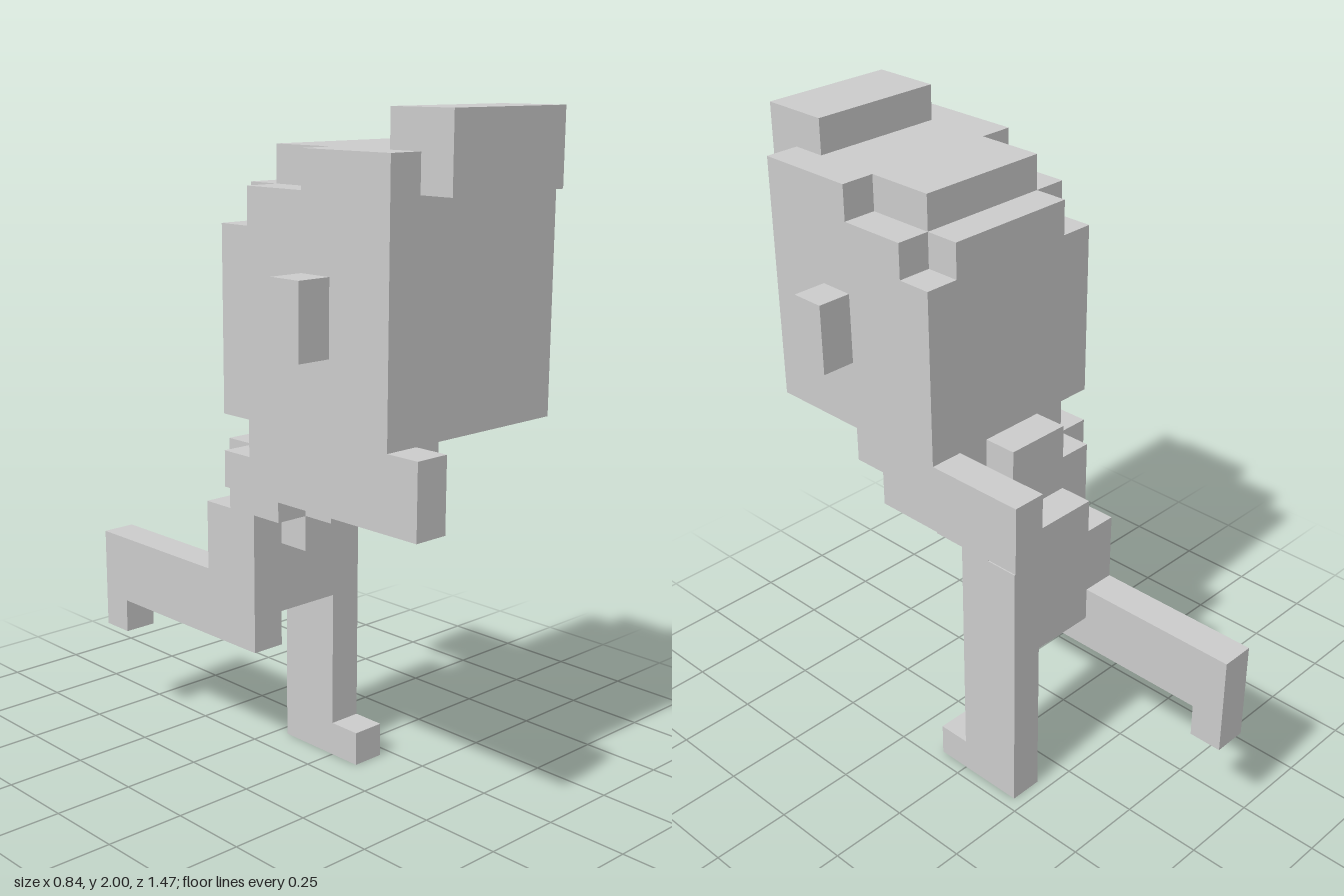
import * as THREE from 'three';

// One block of the figure; the whole model is 19 blocks tall.
const U = 2 / 19;
const material = new THREE.MeshStandardMaterial({ color: 0xcccccc, flatShading: true });

// Box spanning block coordinates [x0, x1], [y0, y1], [z0, z1].
function block([x0, x1], [y0, y1], [z0, z1]) {
  const geometry = new THREE.BoxGeometry((x1 - x0) * U, (y1 - y0) * U, (z1 - z0) * U);
  geometry.translate((x0 + x1) / 2 * U, (y0 + y1) / 2 * U, (z0 + z1) / 2 * U);
  return new THREE.Mesh(geometry, material);
}

function part(name, ...boxes) {
  const group = new THREE.Group();
  group.name = name;
  for (const box of boxes) group.add(block(...box));
  return group;
}

export function createModel() {
  const model = new THREE.Group();
  model.name = 'runningFigure';

  // Big head with a crown stepping down towards the back
  model.add(part('head',
    [[-3, 3], [11, 16], [0, 6]],
    [[-3, 3], [16, 17], [1, 6]],
    [[-2, 2], [16, 17], [0, 1]],
    [[-3, 3], [17, 18], [3, 6]],
    [[-2, 2], [17, 18], [1, 3]]));

  // Peak on the forehead
  model.add(part('capPeak',
    [[-2, 2], [18, 19], [5, 7]],
    [[-2, 2], [17, 18], [6, 7]]));

  // Ears
  model.add(part('leftEar', [[3, 4], [13, 15], [3, 4]]));
  model.add(part('rightEar', [[-4, -3], [13, 15], [3, 4]]));

  // Chest under the head, leaning forward
  model.add(part('chest',
    [[-2, 2], [9, 11], [0, 3]],
    [[-1, 1], [10, 11], [3, 4]],
    [[-2, 2], [8, 9], [0, 1]],
    [[-1, 1], [8, 9], [1, 2]],
    [[-1, 1], [7, 8], [0, 1]]));

  // Back and hips, stepping up to the neck
  model.add(part('back',
    [[-2, 2], [5, 8], [-2, 0]],
    [[-1, 1], [8, 9], [-2, -1]],
    [[-2, 2], [8, 10], [-1, 0]],
    [[-1, 1], [10, 11], [-1, 0]]));

  // Left arm swings back, right arm swings forward
  model.add(part('leftArm',
    [[2, 3], [9, 10], [-3, 2]],
    [[2, 3], [10, 11], [-3, 3]]));
  model.add(part('rightArm',
    [[-3, -2], [9, 10], [0, 7]],
    [[-3, -2], [10, 11], [1, 7]]));

  // Left leg stands, right leg kicks back
  model.add(part('leftLeg',
    [[1, 2], [0, 5], [-2, 0]],
    [[1, 2], [0, 1], [0, 1]]));
  model.add(part('rightLeg',
    [[-2, -1], [4, 5], [-2, 0]],
    [[-2, -1], [4, 6], [-7, -2]],
    [[-2, -1], [3, 4], [-7, -6]]));

  return model;
}
